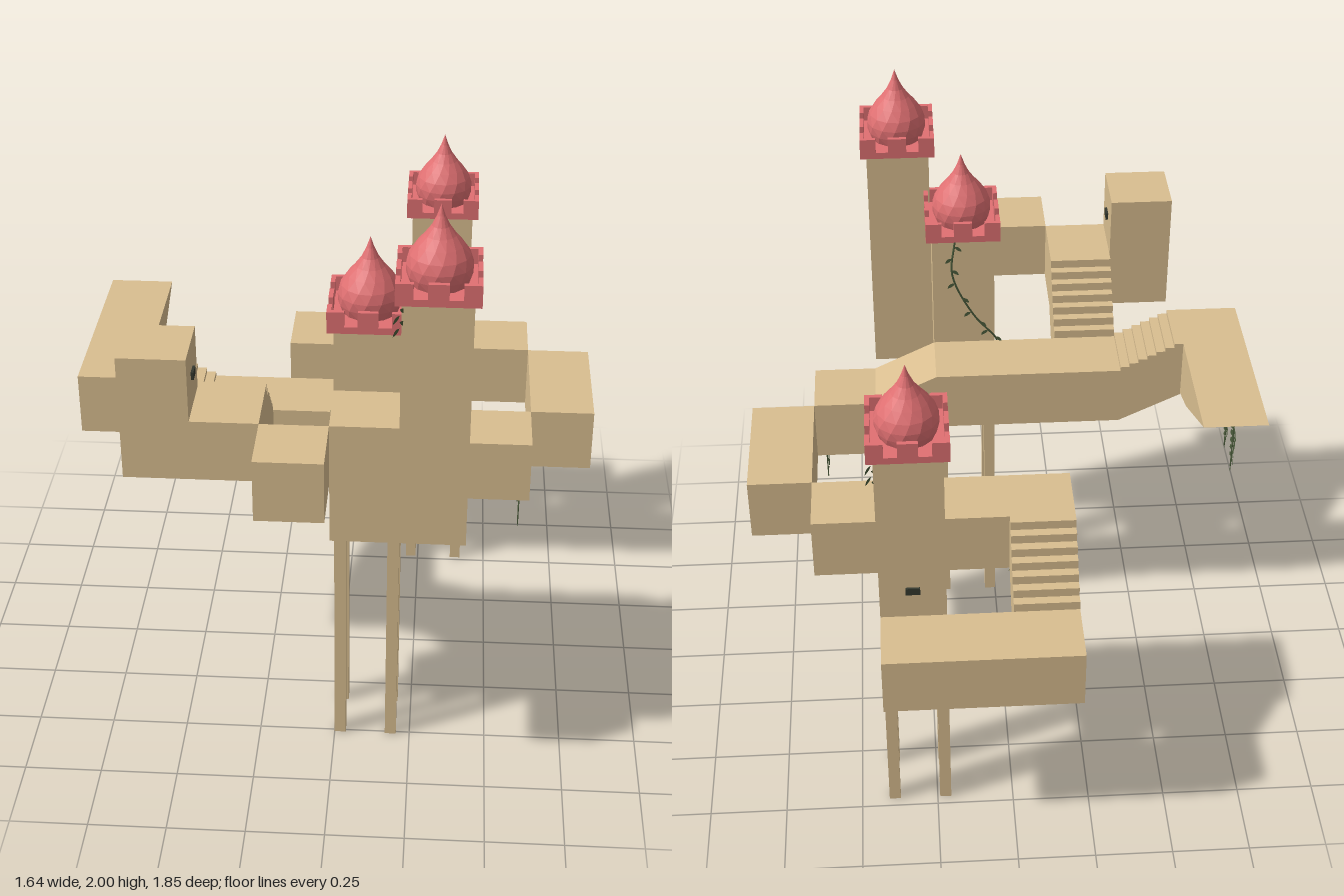
import * as THREE from 'three';

const sand = new THREE.MeshStandardMaterial({ color: 0xd9be90 });
const pink = new THREE.MeshStandardMaterial({ color: 0xe07072 });
const pinkFlat = new THREE.MeshStandardMaterial({ color: 0xe07072, flatShading: true });
const green = new THREE.MeshStandardMaterial({ color: 0x4c5c3c, side: THREE.DoubleSide });
const dark = new THREE.MeshStandardMaterial({ color: 0x34382f });

function add(parent, name, geometry, material = sand) {
  const mesh = new THREE.Mesh(geometry, material);
  mesh.name = name;
  parent.add(mesh);
  return mesh;
}

// Box given by its minimum and maximum on each axis
function block(parent, name, [x0, x1], [y0, y1], [z0, z1], material = sand) {
  const g = new THREE.BoxGeometry(x1 - x0, y1 - y0, z1 - z0);
  g.translate((x0 + x1) / 2, (y0 + y1) / 2, (z0 + z1) / 2);
  return add(parent, name, g, material);
}

// Side profile extruded across the other horizontal axis, from c0 to c1
function profile(parent, name, axis, points, c0, c1) {
  const shape = new THREE.Shape(points.map(p => new THREE.Vector2(...p)));
  const g = new THREE.ExtrudeGeometry(shape, { depth: c1 - c0, bevelEnabled: false });
  if (axis === 'x') g.translate(0, 0, c0);
  else g.rotateY(-Math.PI / 2).translate(c1, 0, 0);
  return add(parent, name, g);
}

// Steps climbing from (a, y0) to (b, y1) over a sloping underside
function stairs(parent, name, axis, a, b, y0, y1, c0, c1, steps = 7) {
  const pts = [[b, y1 - 0.205], [a, y0 - 0.205]];
  for (let i = 0; i < steps; i++) {
    const y = y0 + (y1 - y0) * (i + 1) / steps;
    pts.push([a + (b - a) * i / steps, y], [a + (b - a) * (i + 1) / steps, y]);
  }
  return profile(parent, name, axis, pts, c0, c1);
}

// Battlement with a twisted onion dome
function roof(parent, x, y, z) {
  const g = new THREE.Group();
  g.name = 'towerRoof';
  g.position.set(x, y, z);
  parent.add(g);
  const h = 0.122, t = 0.014;
  block(g, 'roofBase', [-h, h], [0, 0.022], [-h, h], pink);
  for (let i = 0; i < 4; i++) {
    const side = new THREE.Group();
    side.name = 'battlementSide';
    side.rotation.y = i * Math.PI / 2;
    g.add(side);
    block(side, 'merlon', [-0.03, 0.03], [0.02, 0.07], [h - t, h], pink);
    block(side, 'cornerMerlon', [-h, -0.07], [0.02, 0.07], [h - t, h], pink);
    block(side, 'cornerMerlon', [0.07, h - t], [0.02, 0.07], [h - t, h], pink);
  }
  const pts = [[0.084, 0.02], [0.095, 0.05], [0.097, 0.08], [0.088, 0.11], [0.068, 0.14],
    [0.045, 0.168], [0.026, 0.195], [0.012, 0.225], [0, 0.26]];
  const dome = new THREE.LatheGeometry(pts.map(p => new THREE.Vector2(...p)), 14);
  const pos = dome.attributes.position, v = new THREE.Vector3(), up = new THREE.Vector3(0, 1, 0);
  for (let i = 0; i < pos.count; i++) {
    v.fromBufferAttribute(pos, i).applyAxisAngle(up, v.y * 5);
    pos.setXYZ(i, v.x, v.y, v.z);
  }
  dome.computeVertexNormals();
  add(g, 'onionDome', dome, pinkFlat);
}

// Square tower; the optional arched niche is cut in the +z face and turned by spin
function tower(parent, x, z, y0, y1, arch) {
  const g = new THREE.Group();
  g.name = 'tower';
  g.position.set(x, 0, z);
  parent.add(g);
  const h = 0.1025, d = 0.04;
  block(g, 'towerBody', [-h, h], [y0, y1], [-h, arch ? h - d : h]);
  if (arch) {
    const s = new THREE.Shape([[-h, y0], [h, y0], [h, y1], [-h, y1]].map(p => new THREE.Vector2(...p)));
    const r = 0.062, top = arch.y + 0.29;
    const hole = new THREE.Path();
    hole.moveTo(-r, arch.y);
    hole.lineTo(-r, top);
    hole.absarc(0, top, r, Math.PI, 0, true);
    hole.lineTo(r, arch.y);
    hole.closePath();
    s.holes.push(hole);
    const plate = new THREE.ExtrudeGeometry(s, { depth: d, bevelEnabled: false, curveSegments: 10 });
    add(g, 'archedWall', plate.translate(0, 0, h - d));
    g.rotation.y = arch.spin;
  }
  roof(parent, x, y1, z);
}

function legs(parent, x, z, top) {
  for (const sx of [-1, 1]) for (const sz of [-1, 1]) {
    const cx = x + sx * 0.084, cz = z + sz * 0.084, w = 0.0185;
    block(parent, 'supportLeg', [cx - w, cx + w], [0, top], [cz - w, cz + w]);
  }
}

// Pointed drooping leaf
function leaf(parent, length, x, y, z, angle, mirror = 1) {
  const s = new THREE.Shape();
  s.moveTo(0, 0);
  s.quadraticCurveTo(length * 0.5, length * 0.42, length, -length * 0.15);
  s.quadraticCurveTo(length * 0.4, -length * 0.35, 0, 0);
  const m = add(parent, 'leaf', new THREE.ShapeGeometry(s, 5), green);
  m.position.set(x, y, z);
  m.rotation.set(0, mirror < 0 ? Math.PI : 0, angle);
  return m;
}

// Hanging vine with paired leaves
function hangingVine(parent, x, y, z, length, width, turn) {
  const g = new THREE.Group();
  g.name = 'hangingVine';
  g.position.set(x, y, z);
  g.rotation.y = turn;
  parent.add(g);
  add(g, 'vineStem', new THREE.CylinderGeometry(0.003, 0.002, length * 0.9, 5).translate(0, -length * 0.45, 0), green);
  const n = Math.max(3, Math.round(length / 0.036));
  for (let i = 0; i < n; i++) {
    const size = width * 0.54 * (1 - 0.45 * i / n);
    for (const s of [1, -1]) leaf(g, size, 0, -0.012 - i * (length - 0.05) / n, 0, -0.45, s);
  }
  leaf(g, width * 0.3, 0, -length + width * 0.3, 0, -1.45);
}

export function createModel() {
  const model = new THREE.Group();
  model.name = 'castleWalkways';

  // Back wing
  block(model, 'backTerrace', [-0.205, 0.41], [0.62, 0.82], [-0.925, -0.72]);
  stairs(model, 'backStairs', 'z', -0.72, -0.515, 0.82, 1.03, -0.205, 0);
  block(model, 'backWalkway', [-0.205, 0.615], [0.82, 1.03], [-0.515, -0.31]);
  block(model, 'sideWalkway', [0.615, 0.82], [0.82, 1.03], [-0.31, 0.1]);

  // Main walkway with ramp, then stairs to the wedge shaped terrace
  profile(model, 'mainWalkway', 'x', [[-0.41, 0.925], [0.205, 0.925], [0.41, 0.82], [0.615, 0.82],
    [0.615, 1.03], [0.41, 1.03], [0.205, 1.13], [-0.41, 1.13]], 0.1, 0.305);
  stairs(model, 'sideStairs', 'x', -0.41, -0.615, 1.13, 1.23, 0.1, 0.305);
  profile(model, 'wedgeTerrace', 'z', [[0.305, 1.03], [0.1, 1.03], [-0.03, 1.07], [-0.36, 1.23],
    [0.305, 1.23]], -0.82, -0.615);

  // Front wing
  stairs(model, 'frontStairs', 'z', 0.305, 0.51, 1.13, 1.33, -0.41, -0.205);
  block(model, 'frontLanding', [-0.41, -0.205], [1.13, 1.33], [0.51, 0.715]);
  block(model, 'tallBlock', [-0.615, -0.41], [1.13, 1.535], [0.51, 0.715]);
  block(model, 'frontBlock', [-0.205, 0], [1.13, 1.33], [0.715, 0.92]);
  block(model, 'towerTerrace', [0, 0.205], [0.925, 1.33], [0.51, 0.715]);

  // Towers and supports
  tower(model, 0.3075, 0.6125, 0.925, 1.74, { y: 1.33, spin: -Math.PI / 2 });
  tower(model, 0.1025, 0.4075, 0.925, 1.535);
  tower(model, 0.3075, -0.6175, 0.82, 1.43, { y: 1.03, spin: 0 });
  legs(model, 0.1025, 0.4075, 0.925);
  legs(model, 0.3075, -0.6175, 0.82);

  // Small windows
  block(model, 'window', [-0.412, -0.402], [1.422, 1.447], [0.59, 0.632], dark);
  block(model, 'window', [0.285, 0.33], [0.912, 0.937], [-0.727, -0.718], dark);

  // Hanging vines
  const across = Math.PI / 2;
  hangingVine(model, -0.13, 0.82, -0.395, 0.22, 0.16, -Math.PI / 4);
  hangingVine(model, -0.02, 0.82, -0.46, 0.12, 0.08, -Math.PI / 4);
  hangingVine(model, 0.585, 0.82, 0.23, 0.16, 0.085, across);
  hangingVine(model, 0.585, 0.82, 0.135, 0.13, 0.08, across);
  hangingVine(model, -0.72, 1.205, -0.31, 0.19, 0.11, across);
  hangingVine(model, -0.72, 1.15, -0.19, 0.14, 0.09, across);

  // Climbing vine on the middle tower
  const path = new THREE.CatmullRomCurve3([[0.13, 1.53, 0.3], [0.14, 1.4, 0.3], [0.07, 1.24, 0.3],
    [-0.004, 1.14, 0.31], [-0.005, 1.03, 0.42], [-0.005, 0.93, 0.52], [0.015, 0.86, 0.51],
    [0.05, 0.82, 0.475]].map(p => new THREE.Vector3(...p)));
  add(model, 'climbingVine', new THREE.TubeGeometry(path, 40, 0.0035, 5), green);
  for (let i = 0; i < 9; i++) {
    const p = path.getPoint(0.02 + i * 0.05);
    leaf(model, 0.03, p.x, p.y, p.z - 0.004, -0.5, i % 2 ? 1 : -1);
  }

  // Leaf tufts under the roof corners
  for (const [x, y, z] of [[0.2, 1.74, 0.725], [0.415, 1.43, -0.725]]) {
    for (let i = 0; i < 4; i++) {
      const m = leaf(model, 0.032, x, y - 0.015 - i * 0.02, z, -0.5);
      m.rotation.y = Math.PI / 4 + i * Math.PI;
    }
  }
  return model;
}
